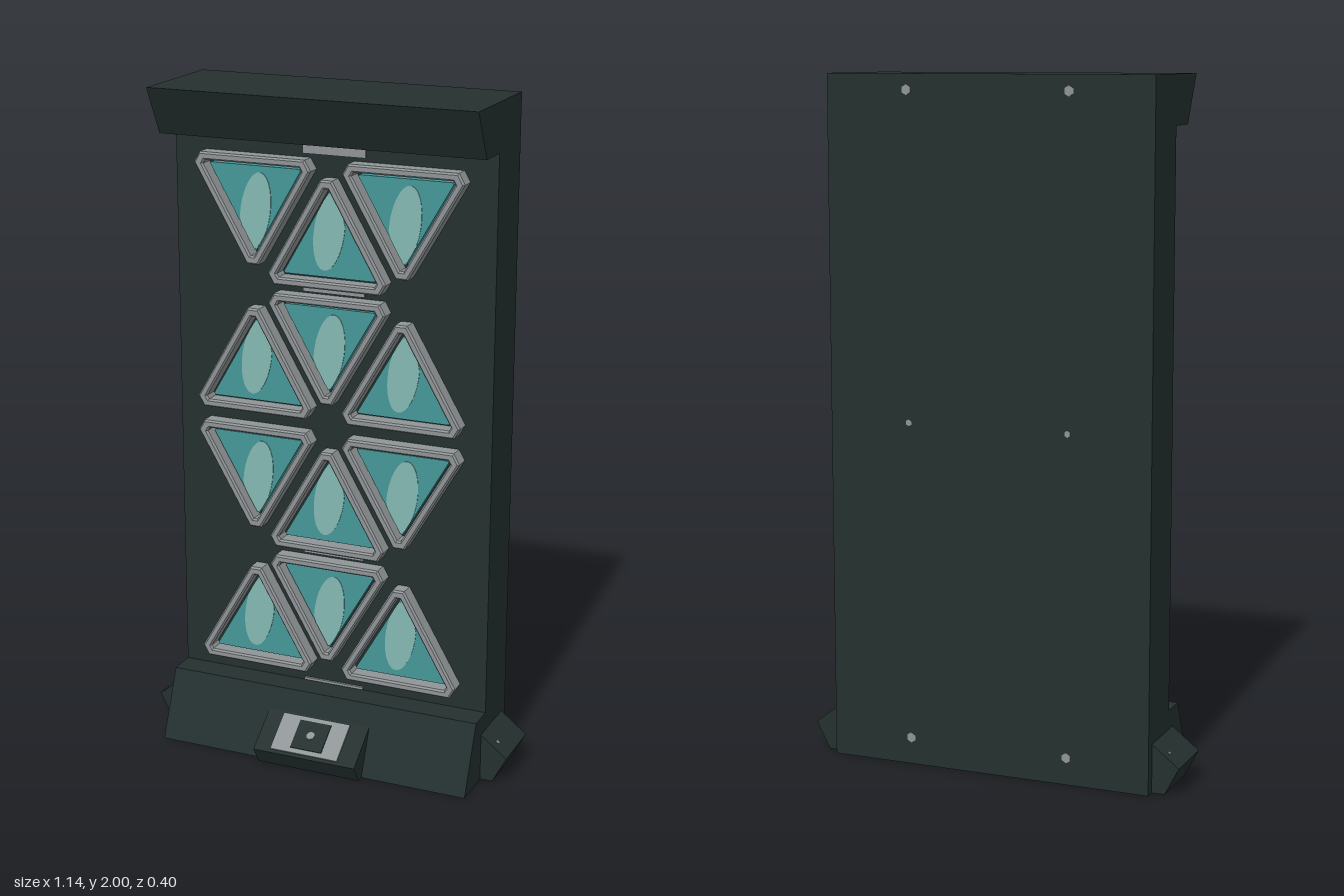
import * as THREE from 'three';

const mat = (name, color, extra = {}) => {
  const m = new THREE.MeshStandardMaterial({ color, ...extra });
  m.name = name;
  return m;
};

export function createModel() {
  const casing = mat('dark casing', 0x24302f);
  const metal = mat('grey metal', 0x8f9496);
  const glass = mat('teal glass', 0x459799);
  const shine = mat('pale glass shine', 0x83b9b2);

  const root = new THREE.Group();
  root.name = 'panelTower';
  const add = (parent, name, geo, material, x = 0, y = 0, z = 0) => {
    const m = new THREE.Mesh(geo, material);
    m.name = name;
    m.position.set(x, y, z);
    parent.add(m);
    return m;
  };
  const shapeOf = pts => new THREE.Shape(pts.map(p => new THREE.Vector2(p[0], p[1])));
  const extrude = (shape, depth) => new THREE.ExtrudeGeometry(shape, { depth, bevelEnabled: false });
  // Side profile of [z, y] points swept along x, centred
  const sweepX = (pts, width) =>
    extrude(shapeOf(pts), width).rotateY(-Math.PI / 2).translate(width / 2, 0, 0);

  // Main slab with overhanging hood and flared base
  add(root, 'casing', sweepX([
    [-0.2, 0], [0.143, 0], [0.056, 0.2], [-0.025, 0.2],
    [-0.025, 1.86], [0.076, 1.86], [0.148, 2], [-0.2, 2],
  ], 0.98), casing);

  // Pod on the front of the base
  add(root, 'frontPod', sweepX([
    [0, 0], [0.165, 0], [0.2, 0.055], [0.08, 0.14], [0, 0.14],
  ], 0.325), casing, 0.003);

  // Plates lying on the sloped face of the front pod
  const plate = new THREE.Group();
  plate.name = 'podPlate';
  plate.position.set(0, 0.0975, 0.14);
  plate.rotation.x = -Math.atan2(0.12, 0.085);
  root.add(plate);
  add(plate, 'plateFrame', new THREE.BoxGeometry(0.215, 0.125, 0.006), metal, 0, 0, 0.002);
  add(plate, 'plateCentre', new THREE.BoxGeometry(0.1, 0.095, 0.006), casing, 0.003, 0, 0.005);
  add(plate, 'plateStud', new THREE.CylinderGeometry(0.013, 0.013, 0.006, 8).rotateX(Math.PI / 2), metal, 0.003, 0, 0.008);

  // Pods on both sides of the base
  for (const s of [1, -1]) {
    const pod = new THREE.Group();
    pod.name = s > 0 ? 'leftPod' : 'rightPod';
    pod.rotation.y = s > 0 ? 0 : Math.PI;
    pod.position.z = -0.08;
    root.add(pod);
    add(pod, 'podBody', extrude(shapeOf([
      [0.45, 0], [0.528, 0], [0.57, 0.08], [0.49, 0.143], [0.45, 0.143],
    ]), 0.18), casing, 0, 0, -0.09);
    const stud = add(pod, 'podStud', new THREE.CylinderGeometry(0.006, 0.006, 0.004, 6), metal, 0.53, 0.112, 0.055);
    stud.rotation.z = -Math.atan2(0.063, 0.08);
  }

  // Downward triangle with apothem a and corners cut by length c
  const triangle = (a, c) => {
    const w = a * Math.sqrt(3), k = c * Math.sqrt(3) / 2;
    return [
      [-w + c, a], [-w + c / 2, a - k], [-c / 2, -2 * a + k],
      [c / 2, -2 * a + k], [w - c / 2, a - k], [w - c, a],
    ];
  };
  const frameShape = shapeOf(triangle(0.115, 0.036));
  frameShape.holes.push(new THREE.Path(triangle(0.092, 0.012).reverse().map(p => new THREE.Vector2(p[0], p[1]))));
  const frameGeo = new THREE.ExtrudeGeometry(frameShape, {
    depth: 0.042, bevelEnabled: true, bevelSegments: 1,
    bevelThickness: 0.006, bevelSize: 0.005, bevelOffset: -0.005,
  });
  const glassGeo = extrude(shapeOf(triangle(0.083, 0.006)), 0.025);

  // Slanted oval glint, kept inside the glass edges
  const glint = [];
  for (let i = 0; i < 28; i++) {
    const t = i / 28 * Math.PI * 2, u = 0.046 * Math.cos(t), v = 0.115 * Math.sin(t);
    const y = Math.max(v * 0.98 - u * 0.15 - 0.048, -0.16);
    const limit = (y + 0.166) / Math.sqrt(3);
    glint.push([THREE.MathUtils.clamp(u + v * 0.15, -limit, limit), Math.min(y, 0.08)]);
  }
  const glintGeo = extrude(shapeOf(glint), 0.003);

  // Triangular cells: [outer pair height, middle height, outer pair points down]
  const rows = [
    [1.691, 1.555, true], [1.163, 1.299, false],
    [0.89, 0.755, true], [0.362, 0.497, false],
  ];
  for (const [outerY, midY, outerDown] of rows) {
    for (const x of [-0.229, 0, 0.229]) {
      const cell = new THREE.Group();
      cell.name = 'triangleCell';
      cell.position.set(x, x ? outerY : midY, -0.026);
      cell.rotation.z = (x !== 0) === outerDown ? 0 : Math.PI;
      root.add(cell);
      add(cell, 'cellFrame', frameGeo, metal, 0, 0, 0.004);
      add(cell, 'cellGlass', glassGeo, glass);
      add(cell, 'cellGlint', glintGeo, shine, 0, 0, 0.024);
    }
  }

  // Slim bars along the centre line of the front
  for (const [y, h] of [[1.83, 0.026], [1.426, 0.014], [0.625, 0.014], [0.207, 0.008]]) {
    add(root, 'centreBar', new THREE.BoxGeometry(0.19, h, 0.008), metal, 0.006, y, -0.022);
  }

  // Screws on the back
  for (const y of [0.08, 1.015, 1.955]) {
    for (const x of [-0.243, 0.243]) {
      const r = y > 0.5 && y < 1.5 ? 0.01 : 0.015;
      add(root, 'backScrew', new THREE.CylinderGeometry(r, r, 0.004, 6).rotateX(Math.PI / 2), metal, x, y, -0.2);
    }
  }
  return root;
}
